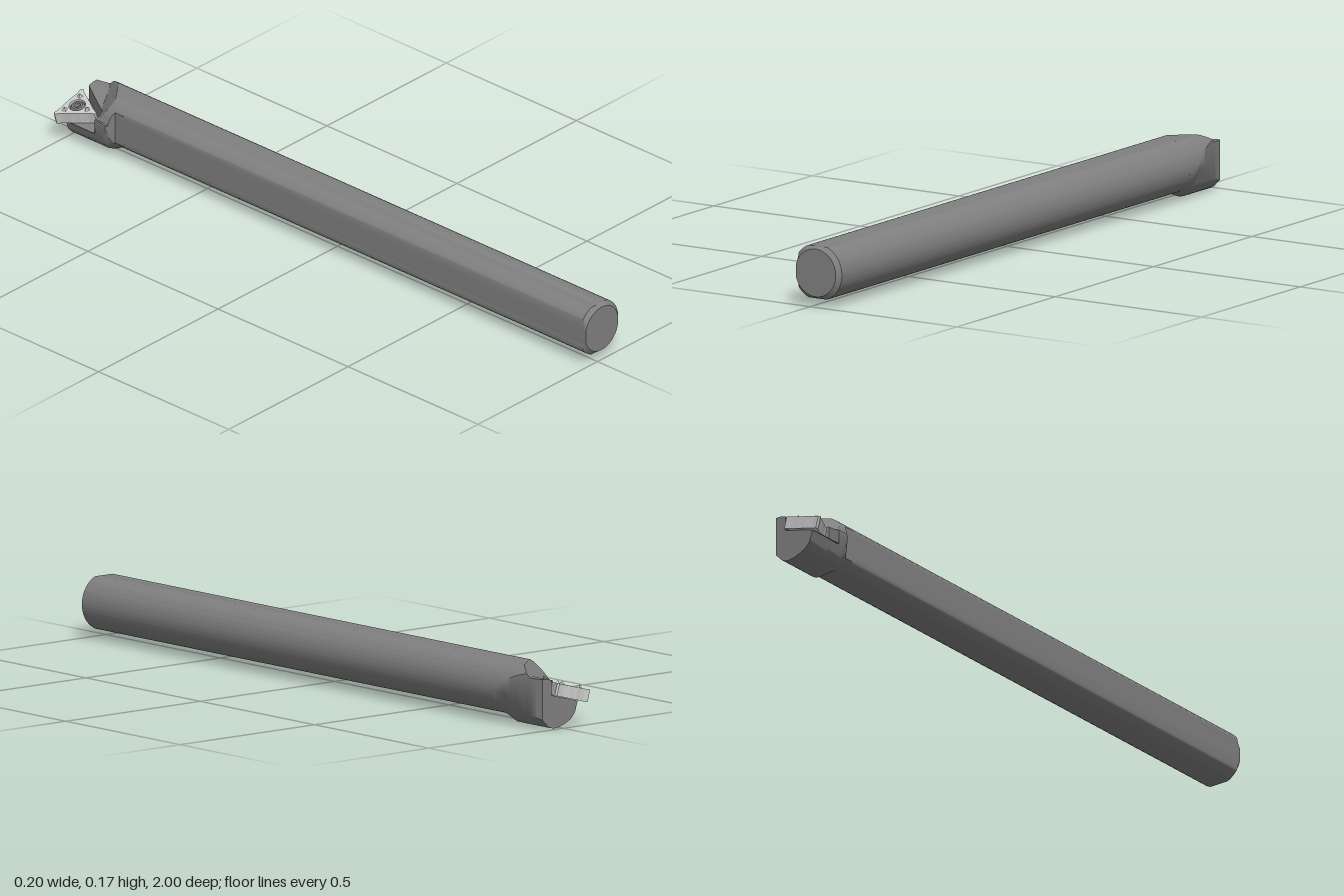
import * as THREE from 'three';
import { toCreasedNormals } from 'three/addons/utils/BufferGeometryUtils.js';

const CX = 0.018, CY = 0.1, R = 0.082;      // shank axis and radius
const FLAT = { left: -0.048, top: 0.175, bottom: 0.024 };
const TILT = 0.27;                          // slope of the insert seat
const { clamp, lerp } = THREE.MathUtils;
const steel = new THREE.MeshStandardMaterial({ color: 0x808080 });
const carbide = new THREE.MeshStandardMaterial({ color: 0xcccccc });

// Skin a list of { z, pts } rings running from front to back
function loft(rings, crease = 0.5) {
  const pos = [];
  const put = (ring, p) => pos.push(p.x, p.y, ring.z);
  for (let i = 0; i < rings.length - 1; i++) {
    const A = rings[i], B = rings[i + 1], n = A.pts.length;
    for (let j = 0; j < n; j++) {
      const k = (j + 1) % n;
      put(A, A.pts[j]); put(B, B.pts[j]); put(A, A.pts[k]);
      put(A, A.pts[k]); put(B, B.pts[j]); put(B, B.pts[k]);
    }
  }
  const cap = (ring, flip) => {
    for (const f of THREE.ShapeUtils.triangulateShape(ring.pts, [])) {
      for (const v of flip ? [f[2], f[1], f[0]] : f) put(ring, ring.pts[v]);
    }
  };
  cap(rings[0], false);
  cap(rings[rings.length - 1], true);
  const g = new THREE.BufferGeometry();
  g.setAttribute('position', new THREE.Float32BufferAttribute(pos, 3));
  return toCreasedNormals(g, crease);
}

function add(parent, name, geometry, material = steel) {
  const m = new THREE.Mesh(geometry, material);
  m.name = name;
  parent.add(m);
  return m;
}

// Round shank section with flats
function shankRing(z, r) {
  const pts = [];
  for (let i = 0; i < 96; i++) {
    const a = i / 96 * Math.PI * 2;
    pts.push(new THREE.Vector2(
      Math.max(CX + r * Math.cos(a), FLAT.left),
      clamp(CY + r * Math.sin(a), FLAT.bottom, FLAT.top)));
  }
  return { z, pts };
}

// Underside of the head, as height over x
const belly = [[-0.073, 0.105], [-0.066, 0.07], [-0.055, 0.036], [-0.04, 0.02], [-0.02, 0.01],
  [0, 0.003], [0.018, 0], [0.034, 0.002], [0.045, 0.008], [0.055, 0.018], [0.072, 0.035], [0.1, 0.1]];
function bellyAt(x) {
  for (let i = 1; i < belly.length; i++) {
    const [x0, y0] = belly[i - 1], [x1, y1] = belly[i];
    if (x <= x1) return lerp(y0, y1, clamp((x - x0) / (x1 - x0), 0, 1));
  }
  return 0.1;
}

// Head section: bevelled right side, diagonal relief on top, insert pocket
function headRing(z, pocket) {
  const t = clamp((-0.808 - z) / 0.034, 0, 1);
  const xl = lerp(FLAT.left, -0.071, clamp((-0.812 - z) / 0.018, 0, 1));
  const xr = 0.1 - 0.035 * clamp((-0.83 - z) / 0.155, 0, 1);
  const xw = 0.04 - 0.58 * (Math.min(z, -0.87) + 1);
  const half = x => Math.sqrt(Math.max(0, R * R - (x - CX) ** 2));
  const top = x => {
    const seat = 0.145 + TILT * Math.min(0, x - 0.05);
    const ramp = 0.178 + 0.9 * (z + 0.86 + 0.8 * (x - CX));
    return Math.min(Math.max(CY + half(x), CY + 0.012 * t), FLAT.top, Math.max(seat, ramp));
  };
  const floor = x => pocket ? 0.063 + TILT * (x + 0.092) : top(x);
  const bottom = x => Math.min(floor(x), lerp(Math.max(CY - half(x), FLAT.bottom), bellyAt(x), t));
  const pts = [];
  const put = (x, y) => pts.push(new THREE.Vector2(x, y));
  for (let i = 0; i <= 40; i++) {
    const x = lerp(xr, xw, 1 - Math.cos(i / 40 * Math.PI / 2));
    put(x, top(x));
  }
  for (let i = 0; i <= 12; i++) {
    const x = lerp(xw, xl, i / 12);
    put(x, floor(x));
  }
  for (let i = 0; i <= 60; i++) {
    const x = lerp(xl, xr, (1 - Math.cos(i / 60 * Math.PI)) / 2);
    put(x, Math.min(bottom(x), top(x)));
  }
  return { z, pts };
}

// Three-tipped cutting insert outline with a central hole
function insertShape() {
  const lobe = [[-40, 0.039], [-24, 0.044], [-12, 0.053], [-3, 0.07],
    [3, 0.07], [12, 0.053], [24, 0.044], [40, 0.039], [60, 0.036]];
  const pts = [];
  for (let k = 0; k < 3; k++) {
    for (const [deg, r] of lobe) {
      const a = (deg - 90 + k * 120) * Math.PI / 180;
      pts.push(new THREE.Vector2(r * Math.cos(a), r * Math.sin(a)));
    }
  }
  const s = new THREE.Shape(pts);
  s.holes.push(new THREE.Path().absarc(0, 0, 0.024, 0, Math.PI * 2, true));
  return s;
}

export function createModel() {
  const model = new THREE.Group();
  model.name = 'boringBar';

  // Shank with chamfered front end
  add(model, 'shank', loft([shankRing(1, 0.069), shankRing(0.988, R), shankRing(-0.78, R)]));

  // Head
  const rings = [];
  for (let i = 0; i <= 60; i++) rings.push(headRing(lerp(-0.78, -0.87, i / 60), false));
  for (let i = 0; i <= 50; i++) rings.push(headRing(lerp(-0.8702, -0.985, i / 50), true));
  add(model, 'head', loft(rings));

  // Insert and its screw, lying on the tilted seat
  const cutter = new THREE.Group();
  cutter.name = 'cutter';
  cutter.position.set(-0.033, 0.08, -0.962);
  cutter.rotation.z = Math.atan(TILT);
  model.add(cutter);

  const insert = new THREE.ExtrudeGeometry(insertShape(), { depth: 0.036, bevelEnabled: false, curveSegments: 24 });
  insert.rotateX(-Math.PI / 2);
  add(cutter, 'insert', insert, carbide);

  // Raised chip breakers behind each tip
  for (let k = 0; k < 3; k++) {
    const a = (-90 + k * 120) * Math.PI / 180;
    const ridge = add(cutter, 'chipBreaker', new THREE.ConeGeometry(0.01, 0.01, 4).toNonIndexed(), carbide);
    ridge.geometry.computeVertexNormals();
    ridge.position.set(0.038 * Math.cos(a), 0.04, -0.038 * Math.sin(a));
    ridge.rotation.y = a;
  }

  // Screw with a socket recess
  const profile = [[0.021, 0], [0.021, 0.03], [0.016, 0.036], [0.01, 0.036], [0.009, 0.022], [0, 0.022]];
  const screw = new THREE.LatheGeometry(profile.map(p => new THREE.Vector2(...p)), 32);
  add(cutter, 'screw', toCreasedNormals(screw, 0.5));

  return model;
}
